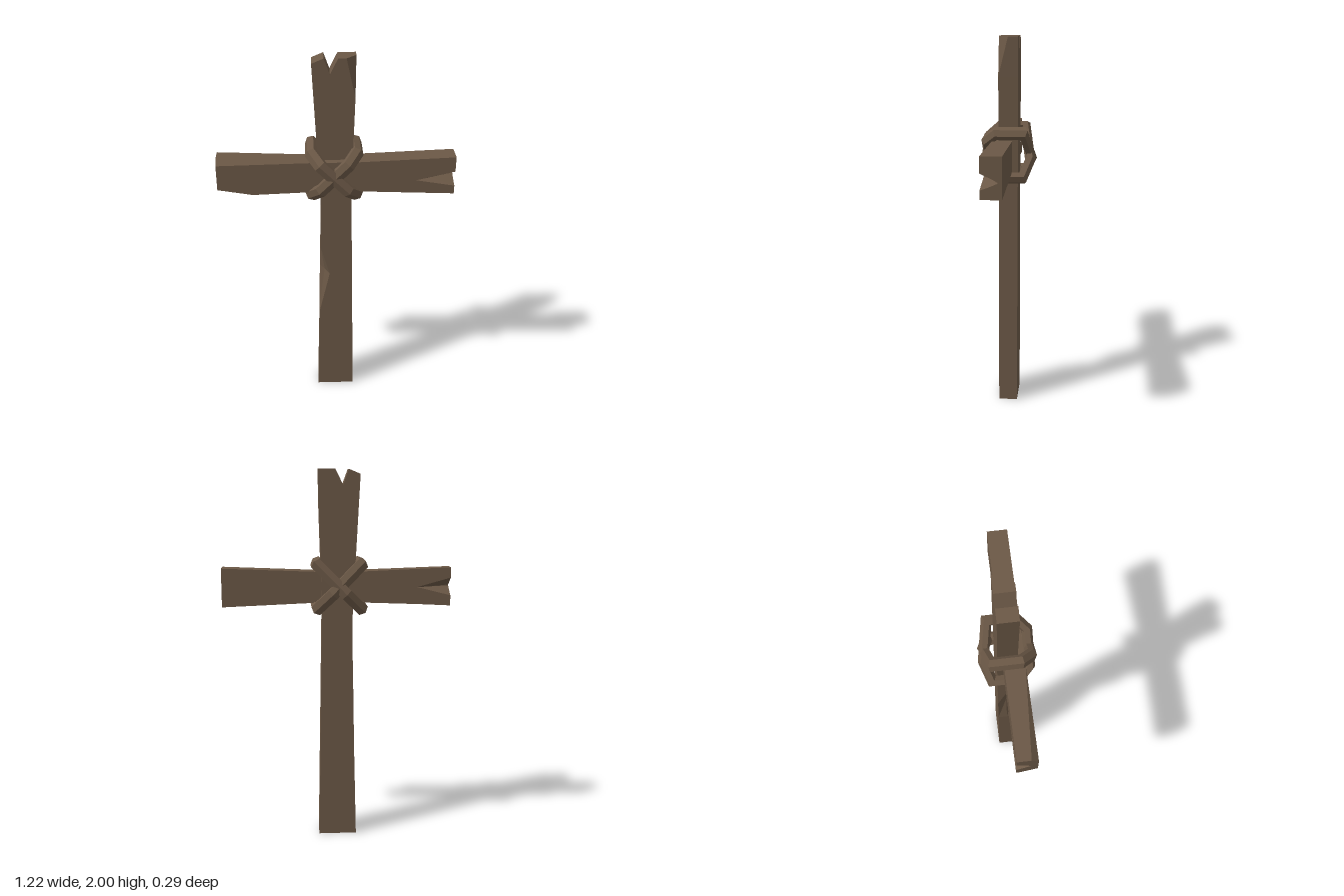
import * as THREE from 'three';

const clamp = (v) => Math.min(1, Math.max(0, v));
const mix = (a, b, t) => a + (b - a) * t;

function fromTriangles(positions) {
  const g = new THREE.BufferGeometry();
  g.setAttribute('position', new THREE.Float32BufferAttribute(positions, 3));
  g.computeVertexNormals();
  return g;
}

// Timber: counter-clockwise outlines stacked from front to back, capped at both ends
function timber(outline, depths) {
  const rings = depths.map((z) => outline(z).map(([x, y]) => new THREE.Vector3(x, y, z)));
  const out = [];
  const tri = (...pts) => pts.forEach((p) => out.push(p.x, p.y, p.z));
  const cap = (ring, flip) => {
    const flat = ring.map((p) => new THREE.Vector2(p.x, p.y));
    for (const [a, b, c] of THREE.ShapeUtils.triangulateShape(flat, [])) {
      if (flip) tri(ring[a], ring[c], ring[b]);
      else tri(ring[a], ring[b], ring[c]);
    }
  };
  cap(rings[0], false);
  cap(rings[rings.length - 1], true);
  for (let r = 0; r < rings.length - 1; r++) {
    const f = rings[r], b = rings[r + 1];
    for (let i = 0; i < f.length; i++) {
      const j = (i + 1) % f.length;
      tri(f[i], b[i], b[j]);
      tri(f[i], b[j], f[j]);
    }
  }
  return fromTriangles(out);
}

// Upright with a split top, a chipped front corner and a dent in one front edge
function postOutline(z) {
  const dent = clamp((z + 0.05) / 0.1);
  const chip = clamp(z / 0.05);
  return [
    [-0.105, 0], [0.1, 0], [0.08, 1.3], [0.095, 1.8],
    [mix(0.1, 0.05, chip), 2], [0.01, 2], [-0.03, 1.92], [-0.06, 2], [-0.12, 1.975],
    [-0.095, 1.5], [-0.08, 1.2], [-0.084, 0.95],
    [mix(-0.088, -0.035, dent), 0.78], [-0.092, 0.53],
  ];
}

// Crossbeam with a wedge split in each end and two worn edges
function beamOutline(z) {
  const frontSplit = clamp(z / 0.085);
  const backSplit = clamp((0.05 - z) / 0.07);
  const topWear = clamp((z - 0.05) / 0.035);
  const lowWear = clamp(z / 0.085);
  return [
    [-0.61, mix(1.285, 1.325, lowWear)], [-0.43, 1.294], [-0.1, 1.306], [0.1, 1.306], [0.61, 1.285],
    [0.61, mix(1.359, 1.33, frontSplit)],
    [mix(0.61, 0.41, frontSplit), 1.364],
    [0.61, mix(1.369, 1.41, frontSplit)],
    [0.61, 1.49], [0.1, 1.47], [-0.12, 1.47],
    [-0.61, mix(1.49, 1.46, topWear)],
    [-0.61, mix(1.39, 1.435, backSplit)],
    [mix(-0.61, -0.43, backSplit), 1.385],
    [-0.61, mix(1.38, 1.34, backSplit)],
  ];
}

// Lashing: a six-sided strap swept around a closed, mitred path
function lashing(path, thick, wide) {
  const n = path.length, sides = 6;
  const pts = path.map(([x, y]) => new THREE.Vector2(x, y));
  const normals = pts.map((p, i) => {
    const t = pts[(i + 1) % n].clone().sub(p).normalize();
    return new THREE.Vector2(t.y, -t.x);
  });
  const ring = pts.map((p, i) => {
    const a = normals[(i + n - 1) % n], b = normals[i];
    const m = a.clone().add(b).divideScalar(1 + a.dot(b));
    return Array.from({ length: sides }, (_, k) => {
      const ang = (k / sides) * Math.PI * 2;
      const r = thick * Math.cos(ang);
      return [p.x + m.x * r, p.y + m.y * r, wide * Math.sin(ang)];
    });
  });
  const out = [];
  for (let i = 0; i < n; i++) {
    const a = ring[i], b = ring[(i + 1) % n];
    for (let k = 0; k < sides; k++) {
      const l = (k + 1) % sides;
      out.push(...a[k], ...b[k], ...b[l], ...a[k], ...b[l], ...a[l]);
    }
  }
  return fromTriangles(out);
}

export function createModel() {
  const group = new THREE.Group();
  const wood = new THREE.MeshStandardMaterial({ color: 0x6b5846, flatShading: true });
  wood.name = 'weathered brown';
  const add = (name, geometry) => {
    const mesh = new THREE.Mesh(geometry, wood);
    mesh.name = name;
    group.add(mesh);
    return mesh;
  };

  add('post', timber(postOutline, [0.05, 0, -0.05]));
  add('crossbeam', timber(beamOutline, [0.085, 0.05, 0, -0.02]));

  // Two diagonal straps binding the joint, distance along the diagonal against depth
  const path = [
    [0.165, -0.08], [0.165, 0.06], [0.1, 0.115], [-0.1, 0.115],
    [-0.165, 0.06], [-0.165, -0.08], [-0.05, -0.115],
  ];
  [['risingLashing', 1, 0], ['fallingLashing', -1, 0.004]].forEach(([name, s, dz]) => {
    const bent = s > 0 ? path : path.map(([x, y]) => [-x, y]).reverse();
    const g = lashing(bent, 0.027, 0.036);
    g.rotateX(Math.PI / 2).rotateZ((s * Math.PI) / 4);
    add(name, g).position.set(-0.01, 1.397, dz);
  });
  return group;
}
